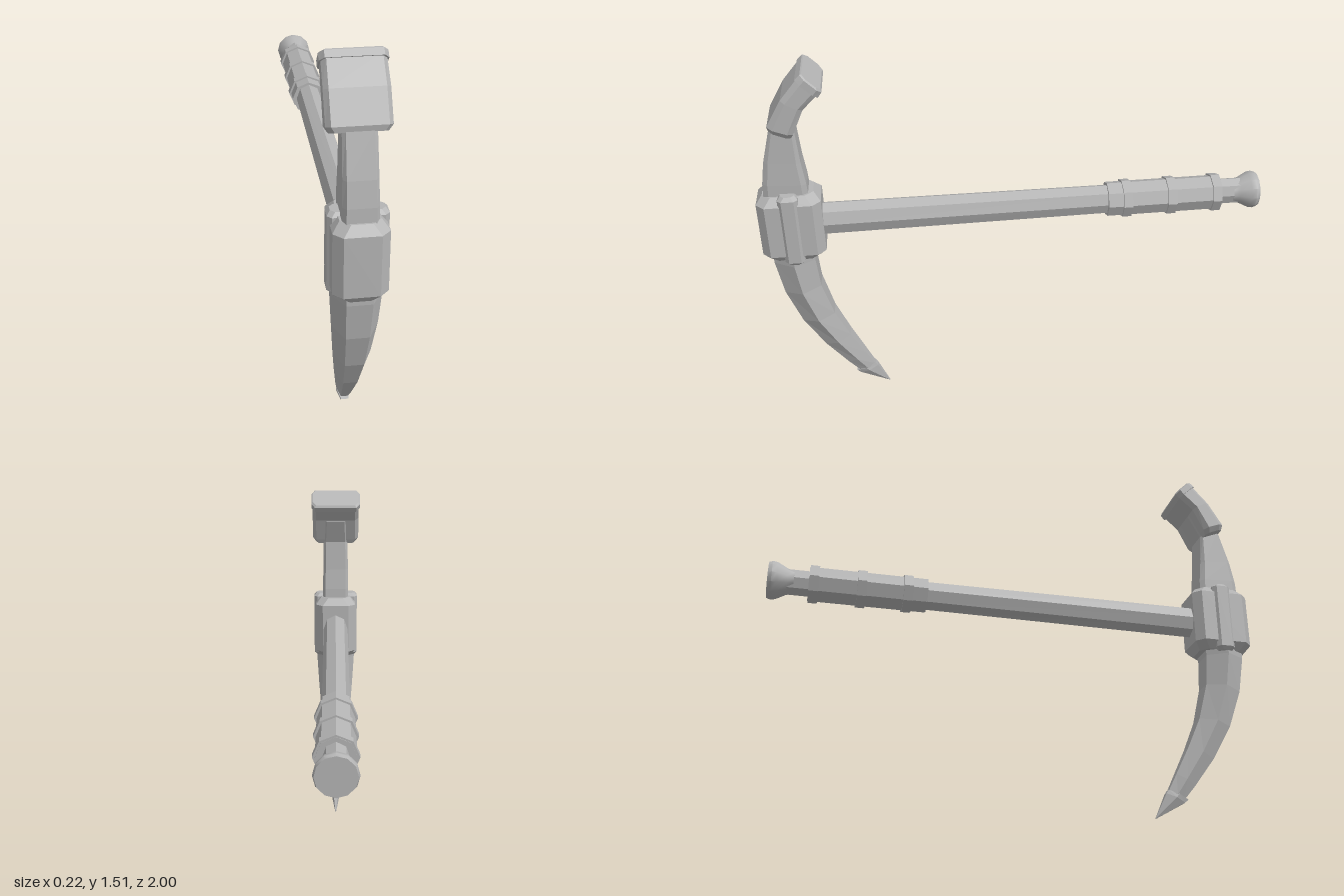
import * as THREE from 'three';
import { toCreasedNormals } from 'three/addons/utils/BufferGeometryUtils.js';

// Closed faceted solid through a list of rings, each an array of [x, y, z]
function loft(rings) {
  const n = rings[0].length, tris = [];
  for (let i = 0; i < rings.length - 1; i++) {
    for (let j = 0; j < n; j++) {
      const k = (j + 1) % n, a = rings[i], b = rings[i + 1];
      tris.push([a[j], a[k], b[k]], [a[j], b[k], b[j]]);
    }
  }
  const first = rings[0], last = rings[rings.length - 1];
  for (let j = 1; j < n - 1; j++) {
    tris.push([first[0], first[j + 1], first[j]], [last[0], last[j], last[j + 1]]);
  }
  // Turn the faces outward when the enclosed volume comes out negative
  const v = (p) => new THREE.Vector3(...p);
  let volume = 0;
  for (const [a, b, c] of tris) volume += v(a).dot(v(b).cross(v(c)));
  if (volume < 0) tris.forEach((t) => t.reverse());
  const geo = new THREE.BufferGeometry();
  geo.setAttribute('position', new THREE.Float32BufferAttribute(tris.flat(2), 3));
  geo.computeVertexNormals();
  return geo;
}

// Curved bar: each station is [frontZ, frontY, backZ, backY, halfWidth]
function bar(stations, profile) {
  return loft(stations.map(([fz, fy, bz, by, w]) =>
    profile.map(([x, t]) => [x * w, fy + (by - fy) * t, fz + (bz - fz) * t])));
}

// Box with flat chamfers on every edge
function chamferBox(x0, x1, y0, y1, z0, z1, c) {
  const ring = (y, i) => {
    const a = x0 + i, b = x1 - i, d = z0 + i, e = z1 - i;
    return [[a + c, y, d], [b - c, y, d], [b, y, d + c], [b, y, e - c],
      [b - c, y, e], [a + c, y, e], [a, y, e - c], [a, y, d + c]];
  };
  return loft([ring(y0, c * 0.8), ring(y0 + c, 0), ring(y1 - c, 0), ring(y1, c * 0.8)]);
}

// Eight-sided shaft along z: each station is [z, radiusX, radiusY]
const SHAFT_Y = 0.865;
function shaft(stations) {
  return loft(stations.map(([z, rx, ry]) => Array.from({ length: 8 }, (_, i) => {
    const a = i * Math.PI / 4;
    return [Math.cos(a) * rx, SHAFT_Y + Math.sin(a) * ry, z];
  })));
}

export function createModel() {
  const group = new THREE.Group();
  const grey = new THREE.MeshStandardMaterial({ color: 0xb4b4b4 });
  grey.name = 'grey';
  const add = (name, geo) => {
    const mesh = new THREE.Mesh(geo, grey);
    mesh.name = name;
    group.add(mesh);
    return mesh;
  };

  // Head socket with a raised band around its sides
  add('headBlock', chamferBox(-0.093, 0.093, 0.722, 1.01, 0.755, 1.0, 0.032));
  add('headBand', chamferBox(-0.102, 0.102, 0.712, 1.02, 0.838, 0.916, 0.015));

  // Lower pick: six-sided and tapering
  const hex = [[0.5, 0], [1, 0.5], [0.5, 1], [-0.5, 1], [-1, 0.5], [-0.5, 0]];
  add('pickBlade', bar([
    [0.965, 0.76, 0.80, 0.76, 0.092],
    [0.965, 0.70, 0.805, 0.70, 0.09],
    [0.94, 0.55, 0.795, 0.57, 0.081],
    [0.885, 0.395, 0.755, 0.42, 0.068],
    [0.805, 0.255, 0.70, 0.295, 0.052],
    [0.72, 0.14, 0.645, 0.185, 0.036],
    [0.675, 0.085, 0.61, 0.115, 0.025],
  ], hex));
  add('pickTip', bar([
    [0.69, 0.085, 0.61, 0.12, 0.026],
    [0.675, 0.072, 0.60, 0.105, 0.026],
    [0.555, 0.004, 0.553, 0.006, 0.002],
  ], hex));

  // Upper neck and the wide blade at its end
  const oct = [[0.8, 0], [1, 0.12], [1, 0.88], [0.8, 1], [-0.8, 1], [-1, 0.88], [-1, 0.12], [-0.8, 0]];
  add('upperNeck', bar([
    [0.97, 0.97, 0.798, 0.97, 0.06],
    [0.965, 1.06, 0.802, 1.05, 0.06],
    [0.95, 1.15, 0.813, 1.14, 0.058],
    [0.91, 1.30, 0.822, 1.27, 0.056],
    [0.845, 1.41, 0.775, 1.37, 0.05],
  ], oct));
  const wide = [[0.85, 0], [1, 0.22], [1, 0.78], [0.85, 1], [-0.85, 1], [-1, 0.78], [-1, 0.22], [-0.85, 0]];
  add('wideBlade', bar([
    [0.91, 1.296, 0.832, 1.263, 0.092],
    [0.913, 1.318, 0.822, 1.282, 0.106],
    [0.853, 1.42, 0.778, 1.378, 0.106],
    [0.782, 1.503, 0.716, 1.436, 0.104],
  ], wide));
  add('bladeLip', bar([
    [0.793, 1.497, 0.718, 1.425, 0.11],
    [0.773, 1.515, 0.703, 1.445, 0.11],
    [0.767, 1.516, 0.706, 1.456, 0.104],
  ], wide));

  // Handle, grip and grip rings
  add('handle', shaft([[0.78, 0.057, 0.069], [-0.4, 0.053, 0.062]]));
  add('grip', shaft([[-0.375, 0.07, 0.072], [-0.842, 0.07, 0.072]]));
  for (const z of [-0.453, -0.636, -0.822]) {
    add('gripRing', shaft([[z + 0.018, 0.079, 0.079], [z - 0.018, 0.079, 0.079]]));
  }
  add('gripNeck', shaft([[-0.83, 0.046, 0.056], [-0.93, 0.046, 0.056]]));

  // Flared pommel
  const flare = [[0, -0.9], [0.046, -0.9], [0.052, -0.925], [0.073, -0.965],
    [0.076, -0.985], [0.071, -1], [0, -1]];
  const lathe = new THREE.LatheGeometry(
    flare.map(([r, z]) => new THREE.Vector2(r, z)).reverse(), 12);
  lathe.rotateX(Math.PI / 2);
  const pommel = add('pommel', toCreasedNormals(lathe, 0.6));
  pommel.position.y = SHAFT_Y;

  return group;
}
